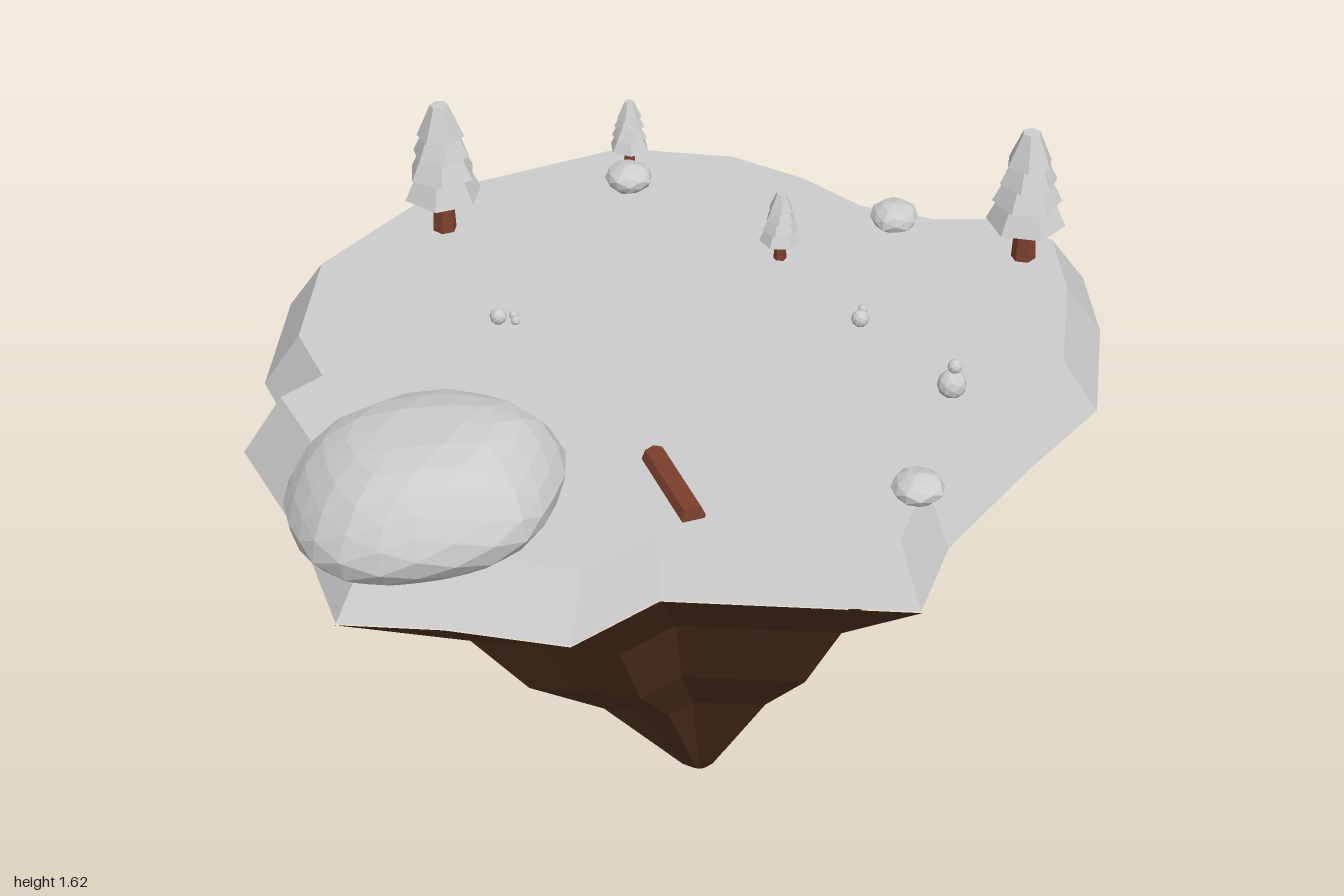
import * as THREE from 'three';

const mat = (name, color) => new THREE.MeshStandardMaterial({ name, color, flatShading: true });

// Island coastline, x and z, clockwise seen from above
const coast = [
  [-0.17, -0.98], [0.14, -0.93], [0.33, -0.81], [0.48, -0.66], [0.67, -0.59], [0.86, -0.59],
  [0.975, -0.48], [0.99, -0.24], [0.945, 0.1], [0.77, 0.33], [0.565, 0.63], [0.49, 0.855],
  [-0.06, 0.81], [-0.245, 0.965], [-0.51, 0.905], [-0.74, 0.885], [-0.83, 0.6], [-0.995, 0.25],
  [-0.9, 0.155], [-0.975, -0.03], [-0.945, -0.375], [-0.67, -0.745],
];

// Skin over scaled copies of the coastline; rings are [y, scale, xOffset] from bottom to top
function loft(rings) {
  const n = coast.length, pos = [], idx = [];
  for (const [y, s, dx] of rings) for (const [x, z] of coast) pos.push(x * s + dx, y, z * s);
  for (let r = 0; r < rings.length - 1; r++) {
    for (let i = 0; i < n; i++) {
      const a = r * n + i, b = r * n + (i + 1) % n;
      idx.push(a, a + n, b, b, a + n, b + n);
    }
  }
  const g = new THREE.BufferGeometry();
  g.setAttribute('position', new THREE.Float32BufferAttribute(pos, 3));
  g.setIndex(idx);
  const flat = g.toNonIndexed();
  flat.computeVertexNormals();
  return flat;
}

// Faceted stone: an icosahedron pushed in and out by a smooth rule
function stoneGeometry(detail, seed, rough) {
  const g = new THREE.IcosahedronGeometry(1, detail);
  const p = g.attributes.position, v = new THREE.Vector3();
  for (let i = 0; i < p.count; i++) {
    v.fromBufferAttribute(p, i);
    const k = 1 + rough * Math.sin(v.x * 4 + seed) * Math.cos(v.z * 5 - seed) + rough * 0.6 * Math.sin(v.y * 6 + seed * 2);
    v.multiplyScalar(k);
    p.setXYZ(i, v.x, v.y, v.z);
  }
  g.computeVertexNormals();
  return g;
}

export function createModel() {
  const model = new THREE.Group();
  model.name = 'floatingIsland';
  const pale = mat('paleGrey', 0xcccccc);
  const earth = mat('earthBrown', 0x4e301c);
  const wood = mat('woodBrown', 0x7d402c);

  const add = (parent, name, geo, material, x = 0, y = 0, z = 0) => {
    const m = new THREE.Mesh(geo, material);
    m.name = name;
    m.position.set(x, y, z);
    parent.add(m);
    return m;
  };

  // Hanging earth and the bevelled ground on top
  add(model, 'earthCone', loft([
    [0, 0, 0.04], [0.015, 0.018, 0.04], [0.06, 0.06, 0.04], [0.42, 0.31, 0.035],
    [0.63, 0.515, 0.02], [0.875, 0.67, 0.015], [1.15, 1.005, 0],
  ]), earth);
  add(model, 'ground', loft([[1.15, 1, 0], [1.283, 0.91, 0], [1.283, 0, 0]]), pale);

  // Trees: trunk and four stacked six-sided tiers, in units of a 0.34 tall tree
  const tiers = [[0.1, 0.185, 0.055, 0.095], [0.158, 0.235, 0.045, 0.083], [0.21, 0.285, 0.035, 0.07], [0.258, 0.34, 0.022, 0.057]];
  const trees = [[0.81, -0.36, 1, 0.3], [-0.575, -0.505, 1, 0.9], [0.23, -0.36, 0.53, 0.5], [-0.13, -0.81, 0.53, 0.1]];
  for (const [x, z, s, turn] of trees) {
    const tree = new THREE.Group();
    tree.name = 'tree';
    tree.position.set(x, 1.28, z);
    tree.scale.setScalar(s);
    tree.rotation.y = turn;
    add(tree, 'trunk', new THREE.CylinderGeometry(0.022, 0.03, 0.16, 6), wood, 0, 0.07, 0);
    tiers.forEach(([y0, y1, top, bottom], i) => {
      const tier = add(tree, 'foliageTier', new THREE.CylinderGeometry(top, bottom, y1 - y0, 6), pale, 0, (y0 + y1) / 2, 0);
      tier.rotation.y = i * 0.2;
    });
    model.add(tree);
  }

  // Large boulder, leaning down over the front left edge
  const boulder = stoneGeometry(3, 1.3, 0.04);
  const p = boulder.attributes.position;
  for (let i = 0; i < p.count; i++) {
    const x = p.getX(i), y = p.getY(i);
    const flatY = y > 0 ? Math.min(y, 0.85 + 0.1 * y) : y;
    p.setXYZ(i, x * 0.3, flatY * 0.17 + x * 0.035, p.getZ(i) * 0.272);
  }
  boulder.computeVertexNormals();
  add(model, 'boulder', boulder, pale, -0.56, 1.325, 0.643);

  // Small stones
  const stones = [[-0.13, 1.312, -0.7], [0.51, 1.312, -0.505], [0.495, 1.3, 0.61]];
  stones.forEach(([x, y, z], i) => {
    add(model, 'stone', stoneGeometry(1, i * 1.7, 0.05), pale, x, y, z).scale.set(0.058, 0.036, 0.06);
  });

  // Pebbles and the little stacked shrub
  const pebbles = [
    [-0.43, 1.3, -0.08, 0.02], [-0.395, 1.3, -0.085, 0.01], [-0.39, 1.295, -0.068, 0.011],
    [0.405, 1.305, -0.055, 0.021], [0.412, 1.312, -0.085, 0.011],
    [0.595, 1.308, 0.225, 0.034], [0.6, 1.355, 0.225, 0.017],
  ];
  for (const [x, y, z, r] of pebbles) {
    add(model, 'pebble', new THREE.IcosahedronGeometry(r, 1), pale, x, y, z);
  }
  add(model, 'shrubStem', new THREE.CylinderGeometry(0.007, 0.007, 0.05, 5), pale, 0.598, 1.33, 0.225);

  // Fallen log
  const log = add(model, 'fallenLog', new THREE.CylinderGeometry(0.028, 0.028, 0.245, 8), wood, -0.03, 1.29, 0.59);
  log.rotation.set(Math.PI / 2, 0, -0.35, 'XYZ');

  return model;
}
